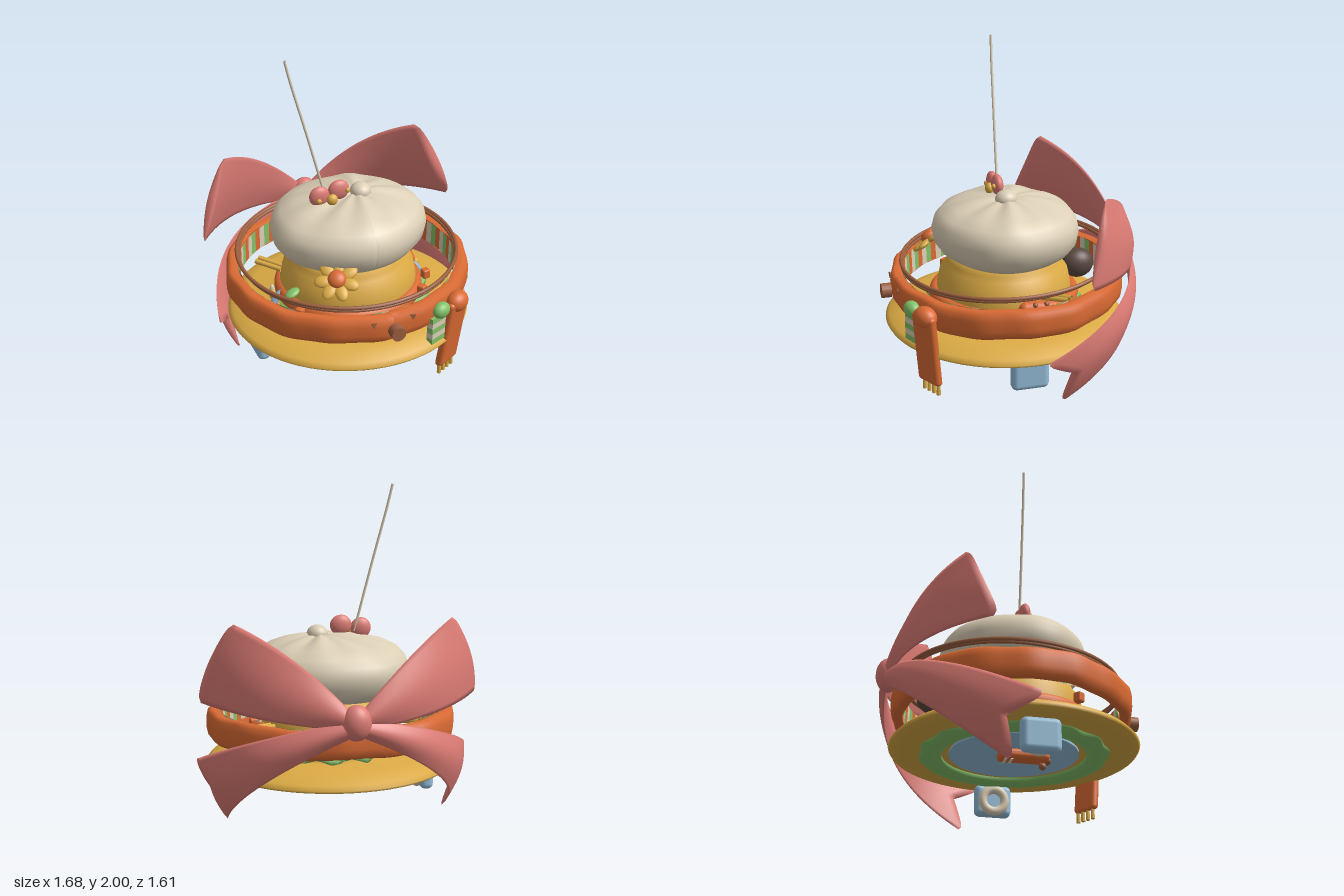
import * as THREE from 'three';
import { RoundedBoxGeometry } from 'three/addons/geometries/RoundedBoxGeometry.js';

const mat = (name, color, double = false) => {
  const m = new THREE.MeshStandardMaterial({ color });
  m.name = name;
  if (double) m.side = THREE.DoubleSide;
  return m;
};
const V = (x, y, z) => new THREE.Vector3(x, y, z);

export function createModel() {
  const root = new THREE.Group();
  root.name = 'stackedHats';
  const orange = mat('orangeKnit', 0xdb6b34, true), straw = mat('straw', 0xdcab45, true);
  const cream = mat('cream', 0xdccfb6, true), pink = mat('pinkRibbon', 0xdd7c75, true);
  const green = mat('leafGreen', 0x84c069, true), blue = mat('paleBlue', 0x96bfdb);
  const brown = mat('brown', 0x9c5f40), dark = mat('darkBrown', 0x5b4840);

  const add = (name, geo, m, pos = [0, 0, 0], rot = [0, 0, 0], scale = [1, 1, 1], parent = root) => {
    const mesh = new THREE.Mesh(geo, m);
    mesh.name = name;
    mesh.position.set(...pos);
    mesh.rotation.set(...rot);
    mesh.scale.set(...scale);
    parent.add(mesh);
    return mesh;
  };
  const ball = (name, m, pos, scale, rot) => add(name, new THREE.SphereGeometry(1, 24, 16), m, pos, rot, scale);
  const lathe = (pts, seg = 72) => new THREE.LatheGeometry(pts.map(p => new THREE.Vector2(...p)), seg);
  const tube = (pts, r, n = 24) =>
    new THREE.TubeGeometry(new THREE.CatmullRomCurve3(pts.map(p => V(...p))), n, r, 8);
  // Moves every vertex by a rule and refreshes the normals
  const warp = (geo, rule) => {
    const p = geo.attributes.position, v = V(0, 0, 0);
    for (let i = 0; i < p.count; i++) {
      v.fromBufferAttribute(p, i);
      rule(v, Math.atan2(v.z, v.x), Math.hypot(v.x, v.z));
      p.setXYZ(i, v.x, v.y, v.z);
    }
    geo.computeVertexNormals();
    return geo;
  };

  // Straw hat: wide brim and domed crown, closed below by a blue lining
  add('strawHat', lathe([[0.38, 0.29], [0.55, 0.28], [0.7, 0.28], [0.755, 0.295], [0.765, 0.31], [0.74, 0.335],
    [0.63, 0.383], [0.46, 0.385], [0.43, 0.42], [0.43, 0.52], [0.41, 0.61], [0.37, 0.655], [0.36, 0.69],
    [0.33, 0.74], [0.15, 0.78], [0, 0.78]]), straw, [0, 0, 0.03], [0, 0, 0], [1, 1, 0.97]);
  add('lining', new THREE.CylinderGeometry(0.385, 0.385, 0.02, 48), blue, [0, 0.285, 0.03]);

  // Leaf frills above and below the brim
  add('upperFrill', warp(lathe([[0.4, 0.395], [0.475, 0.395], [0.475, 0.425], [0.4, 0.425]], 66), (v, a, r) => {
    if (r < 0.45) return;
    const k = 1 + 0.06 * Math.cos(a - 0.6) + 0.05 * Math.sin(a * 13);
    v.x *= k; v.z *= k;
    v.y += 0.015 * Math.sin(a * 14);
  }), green, [0, 0, 0.03]);
  add('lowerFrill', warp(lathe([[0.43, 0.285], [0.43, 0.26], [0.49, 0.25], [0.555, 0.262], [0.56, 0.285]], 90), (v, a, r) => {
    if (r < 0.52) return;
    const k = 1 + 0.02 * Math.sin(a * 14);
    v.x *= k; v.z *= k;
    v.y += 0.006 * Math.sin(a * 14);
  }), green, [0, 0, 0.03]);

  // Orange band with chunky charms around the crown
  add('crownBand', new THREE.TorusGeometry(0.425, 0.042, 12, 64), orange, [0, 0.46, 0.03], [Math.PI / 2, 0, 0], [1, 1, 1.2]);
  for (const [x, z, a] of [[0.46, 0.2, 0.1], [0.36, 0.36, 0.6], [-0.43, 0.31, -0.9]])
    add('bandCharm', new RoundedBoxGeometry(0.05, 0.06, 0.05, 2, 0.01), orange, [x, 0.5, z], [0, a, 0]);
  add('sideRoll', new THREE.CapsuleGeometry(0.045, 0.16, 6, 16), orange, [0.435, 0.51, -0.07], [Math.PI / 2, 0, 0.1]);
  for (const z of [-0.11, -0.04]) ball('rollBead', brown, [0.462, 0.543, z], [0.016, 0.016, 0.016]);

  // Scarf ring with striped inner face
  const scarf = new THREE.Group();
  scarf.name = 'scarf';
  scarf.position.set(0, 0.555, 0.015);
  scarf.rotation.x = 0.025;
  scarf.scale.z = 0.935;
  root.add(scarf);
  add('scarfBand', warp(lathe([[0.69, -0.08], [0.735, -0.09], [0.758, -0.07], [0.766, -0.03], [0.766, 0.03],
    [0.758, 0.07], [0.735, 0.09], [0.69, 0.08]], 96), (v, a) => {
    const k = 1 + 0.007 * Math.sin(a * 16);
    v.x *= k; v.z *= k;
    v.y += 0.005 * Math.sin(a * 7);
  }), orange, [0, 0, 0], [0, 0, 0], [1, 1, 1], scarf);
  const stripes = new THREE.CylinderGeometry(0.685, 0.685, 0.155, 90, 1, true);
  stripes.clearGroups();
  for (let i = 0; i < 90; i++) stripes.addGroup(i * 6, 6, i % 3);
  add('scarfStripes', stripes, [orange, green, cream], [0, 0, 0], [0, 0, 0], [1, 1, 1], scarf);

  // Face on the scarf front
  add('nose', new THREE.CylinderGeometry(0.045, 0.045, 0.06, 20), brown, [0, 0.54, 0.775], [Math.PI / 2, 0, 0]);
  for (const s of [-1, 1])
    add('eye', new THREE.CylinderGeometry(0.022, 0.022, 0.009, 3), brown, [s * 0.125, 0.587, 0.724],
      [Math.PI / 2, 0, 0.2 * s]);

  // Knots, hanging scarf ends and tassels
  ball('orangeKnot', orange, [0.465, 0.55, 0.628], [0.08, 0.065, 0.062], [0, 0.5, 0]);
  ball('greenKnot', green, [0.333, 0.55, 0.68], [0.062, 0.05, 0.045], [0, 0.4, 0]);
  const longEnd = new THREE.Group();
  longEnd.name = 'longScarfEnd';
  longEnd.position.set(0.465, 0.57, 0.635);
  longEnd.rotation.y = 0.5;
  root.add(longEnd);
  add('longTail', warp(new RoundedBoxGeometry(0.18, 0.47, 0.055, 8, 0.025).translate(0, -0.235, 0), v => {
    const t = -v.y / 0.47;
    v.z -= 0.06 * t * t;
    v.x -= 0.02 * t;
  }), orange, [0, 0, 0], [0, 0, 0], [1, 1, 1], longEnd);
  for (let i = 0; i < 4; i++)
    add('tassel', new THREE.CylinderGeometry(0.011, 0.013, 0.08, 10), straw, [-0.08 + i * 0.042, -0.49, -0.06],
      [0, 0, 0], [1, 1, 1], longEnd);
  for (let i = 0; i < 5; i++)
    add('shortTailStripe', new THREE.BoxGeometry(0.13, 0.036, 0.045), i % 2 ? cream : green,
      [0.315, 0.352 + i * 0.036, 0.665], [0, 0.4, 0]);

  // Pair of thin tilted hoops
  add('upperHoop', new THREE.TorusGeometry(0.69, 0.012, 8, 96), brown, [0, 0.705, 0.01], [Math.PI / 2 + 0.05, 0, 0], [1, 0.95, 1]);
  add('lowerHoop', new THREE.TorusGeometry(0.68, 0.011, 8, 96), brown, [0, 0.69, 0.015], [Math.PI / 2 + 0.06, 0, 0], [1, 0.95, 1]);

  // Softly pleated beret with a button
  add('beret', warp(lathe([[0.28, 0.73], [0.37, 0.72], [0.43, 0.76], [0.475, 0.82], [0.488, 0.89], [0.472, 0.95],
    [0.43, 0.998], [0.35, 1.038], [0.25, 1.065], [0.15, 1.085], [0.06, 1.09], [0, 1.08]], 120), (v, a, r) => {
    if (v.y > 0.9) {
      const w = Math.sin(Math.PI * Math.min(1, r / 0.47));
      v.y += w * (0.007 * Math.sin(a * 9) + 0.008 * Math.sin(a * 4 + 1));
      v.x += 0.06 * (1 - r / 0.5);
    }
    const k = 1 + 0.012 * Math.sin(a * 5);
    v.x *= k; v.z *= k * 0.92;
  }), cream, [0, 0, 0.02]);
  ball('beretButton', cream, [0.08, 1.09, 0.035], [0.066, 0.056, 0.068]);

  // Small bow pin and its long feeler
  ball('pinLobe', pink, [-0.195, 1.115, 0.05], [0.065, 0.065, 0.035]);
  ball('pinLobe', pink, [-0.07, 1.135, 0.05], [0.068, 0.065, 0.035]);
  for (const [x, y, r] of [[-0.125, 1.095, 0.035], [-0.21, 1.1, 0.016], [-0.025, 1.14, 0.016]])
    ball('pinBead', straw, [x, y, 0.085], [r, r, r * 0.8]);
  add('feeler', tube([[-0.15, 1.1, 0.03], [-0.26, 1.53, 0.02], [-0.35, 1.87, 0.01], [-0.38, 2, 0.005]], 0.008), cream);

  // Flower on the crown
  const flower = new THREE.Group();
  flower.name = 'flower';
  flower.position.set(-0.24, 0.76, 0.44);
  flower.rotation.set(-0.95, -0.3, 0);
  root.add(flower);
  for (let i = 0; i < 7; i++) {
    const a = (i + 0.25) * Math.PI * 2 / 7;
    add('petal', new THREE.SphereGeometry(1, 16, 10), straw, [0.083 * Math.cos(a), 0.083 * Math.sin(a), 0],
      [0, 0, a], [0.055, 0.038, 0.02], flower);
  }
  add('flowerCentre', new THREE.SphereGeometry(1, 20, 12), orange, [0, 0, 0.02], [0, 0, 0], [0.055, 0.055, 0.035], flower);
  ball('leaf', green, [-0.45, 0.6, 0.24], [0.05, 0.02, 0.035], [0, 0.3, 0.3]);

  // Dark pompom at the back
  ball('backPompom', dark, [0, 0.59, -0.455], [0.085, 0.095, 0.105]);

  for (const s of [-1, 1]) {
    // Earmuffs with cushions and a band tucked into the crown
    add('earCup', new RoundedBoxGeometry(0.085, 0.2, 0.23, 4, 0.035), blue, [s * 0.605, 0.18, 0.035]);
    add('earCushion', new THREE.TorusGeometry(0.07, 0.028, 12, 32), cream, [s * 0.56, 0.175, 0.035], [0, Math.PI / 2, 0]);
    add('earBand', tube([[s * 0.57, 0.26, 0.025], [s * 0.51, 0.38, 0.025], [s * 0.475, 0.45, 0.025],
      [s * 0.4, 0.5, 0.025]], 0.024), blue);
    ball('bandRivet', straw, [s * 0.49, 0.45, -0.01], [0.022, 0.035, 0.022]);
    ball('bandTag', cream, [s * 0.47, 0.43, -0.08], [0.018, 0.045, 0.016]);
    // Straw prongs
    for (const d of [0, 0.03])
      add('prong', tube([[s * (0.37 + d), 0.56, -0.13 + d], [s * (0.495 + d), 0.58, -0.255 + d]], 0.016, 4), straw);
  }

  // Long striped charm slung under the hat
  add('charm', new RoundedBoxGeometry(0.12, 0.06, 0.3, 4, 0.025), orange, [-0.11, 0.235, 0.06]);
  for (const z of [-0.05, -0.015])
    add('charmStripe', new THREE.BoxGeometry(0.08, 0.008, 0.014), cream, [-0.11, 0.203, z]);
  ball('charmBead', brown, [-0.11, 0.182, 0.175], [0.022, 0.022, 0.022]);
  ball('charmBead', brown, [-0.11, 0.215, 0.205], [0.03, 0.022, 0.02]);

  // Big bow: each piece is a puffed strip between two edge curves
  const ribbon = (name, s, top, bottom, notch) => {
    const curve = pts => new THREE.QuadraticBezierCurve3(...pts.map(([x, y, z]) => V(s * x, y, z)));
    const A = curve(top), B = curve(bottom), N = 24, M = 16, K = 2 * M, pos = [], idx = [];
    for (let i = 0; i <= N; i++)
      for (let j = 0; j < K; j++) {
        const v = j <= M ? j / M : 2 - j / M, e = Math.abs(2 * v - 1);
        const u = i / N * (1 - notch * (1 - e) - 0.03 * e ** 10);
        const p = A.getPoint(u).lerp(B.getPoint(u), v);
        p.addScaledVector(V(p.x, 0, p.z).normalize(), Math.sin(Math.PI * v) * (j <= M ? 0.035 : -0.015));
        pos.push(p.x, p.y, p.z);
      }
    const quad = (a, b, c, d) => s > 0 ? idx.push(a, b, c, b, d, c) : idx.push(a, c, b, b, c, d);
    for (let i = 0; i < N; i++)
      for (let j = 0; j < K; j++) {
        const a = i * K + j, b = i * K + (j + 1) % K;
        quad(a, b, a + K, b + K);
      }
    for (let j = 0; j < M; j++) // end cap
      quad(N * K + j, N * K + j + 1, N * K + (K - j) % K, N * K + K - j - 1);
    const g = new THREE.BufferGeometry();
    g.setAttribute('position', new THREE.Float32BufferAttribute(pos, 3));
    g.setIndex(idx);
    g.computeVertexNormals();
    add(name, g, pink);
  };
  for (const s of [-1, 1]) {
    ribbon('bowLoop', s, [[0.03, 0.78, -0.73], [0.35, 1.13, -0.68], [0.665, 1.25, -0.385]],
      [[0.03, 0.67, -0.73], [0.55, 0.73, -0.74], [0.85, 0.765, -0.25]], 0);
    ribbon('bowTail', s, [[0.03, 0.74, -0.74], [0.765, 0.6, -0.69], [0.845, 0.335, 0.02]],
      [[0.03, 0.63, -0.74], [0.72, 0.34, -0.73], [0.67, -0.015, -0.13]], 0.11);
  }
  ball('bowKnot', pink, [0, 0.715, -0.733], [0.088, 0.105, 0.075]);
  return root;
}
